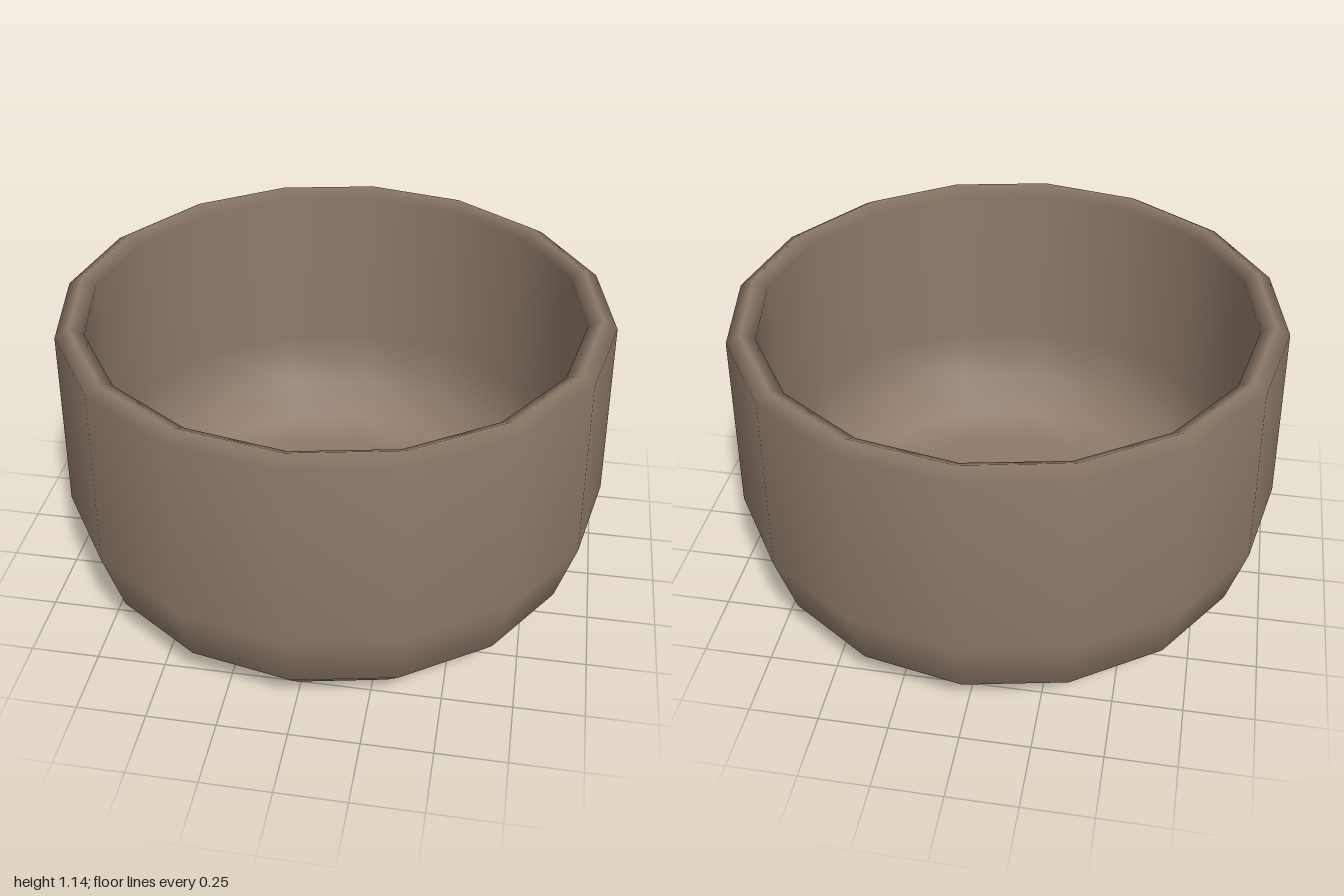
import * as THREE from 'three';

export function createModel() {
  const group = new THREE.Group();
  group.name = 'bowl';

  const clay = new THREE.MeshStandardMaterial({ color: 0x8c7868 });
  clay.name = 'brown clay';

  // Closed profile: outer wall upward, over the rim, then down the inner wall
  const profile = [
    [0, 0], [0.63, 0.005], [0.8, 0.05], [0.93, 0.19], [1, 0.43], [0.98, 1.11],
    [0.93, 1.14],
    [0.88, 1.11], [0.895, 0.45], [0.84, 0.25], [0.73, 0.14], [0.58, 0.1], [0, 0.1],
  ].map(([r, y]) => new THREE.Vector2(r, y));

  // Sixteen-sided smooth-shaded vessel
  const bowl = new THREE.Mesh(new THREE.LatheGeometry(profile, 16), clay);
  bowl.name = 'bowlShell';
  group.add(bowl);
  return group;
}
